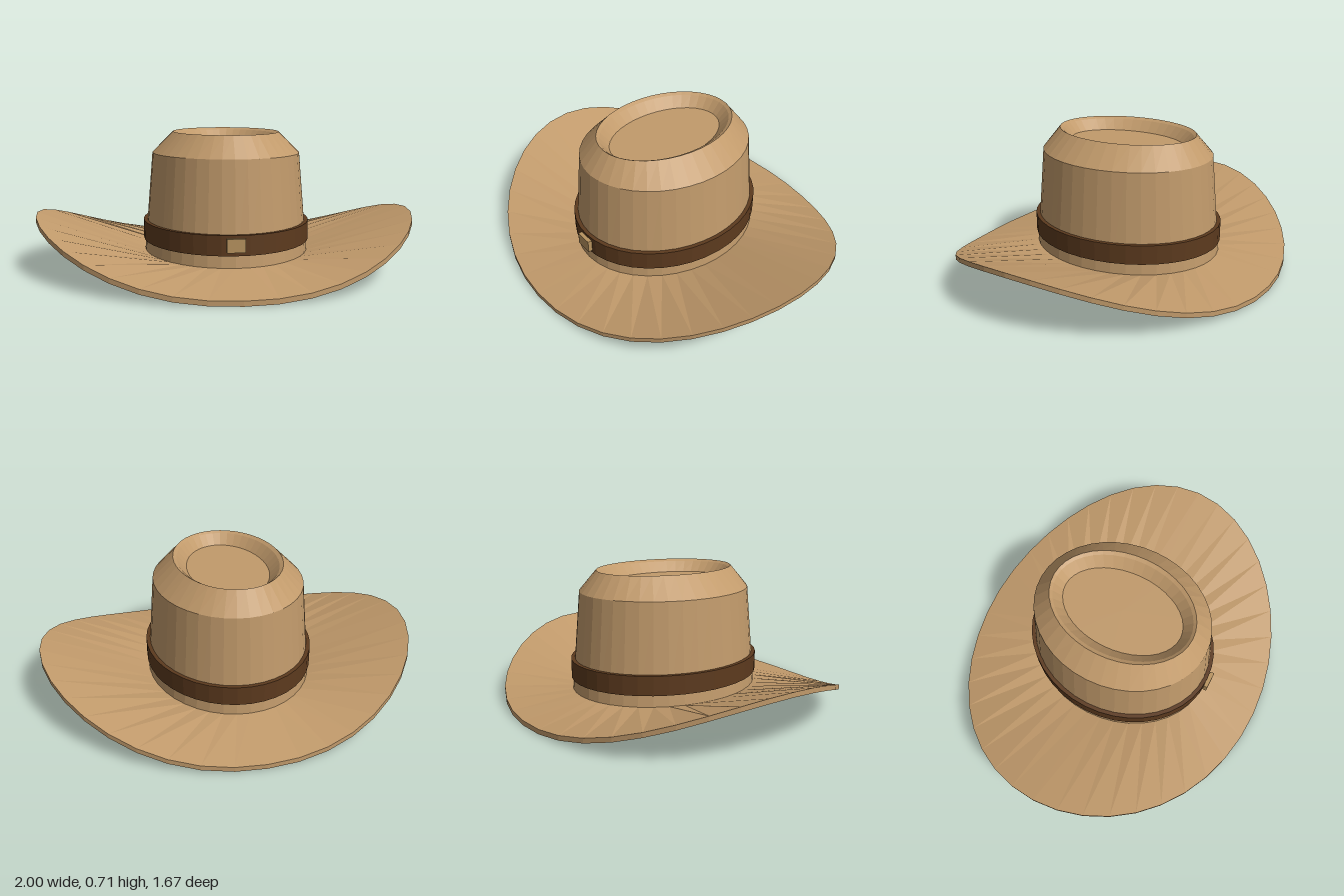
import * as THREE from 'three';

const SEGMENTS = 40;

const tan = new THREE.MeshStandardMaterial({ name: 'tanFelt', color: 0xc19a6b, side: THREE.DoubleSide });
const brown = new THREE.MeshStandardMaterial({ name: 'brownLeather', color: 0x5c3a1e });
const brass = new THREE.MeshStandardMaterial({ name: 'paleBuckle', color: 0xb8935f });

// Skin elliptical rings [radiusX, radiusZ, y]; y may be a function of the angle.
function ringSurface(rings) {
  const positions = [];
  const index = [];
  for (const [rx, rz, y] of rings) {
    for (let i = 0; i < SEGMENTS; i++) {
      const a = (i / SEGMENTS) * Math.PI * 2;
      positions.push(rx * Math.cos(a), typeof y === 'function' ? y(a) : y, rz * Math.sin(a));
    }
  }
  for (let r = 0; r < rings.length - 1; r++) {
    for (let i = 0; i < SEGMENTS; i++) {
      const j = (i + 1) % SEGMENTS;
      const a = r * SEGMENTS + i, b = r * SEGMENTS + j;
      const c = a + SEGMENTS, d = b + SEGMENTS;
      index.push(a, c, b, b, c, d);
    }
  }
  const indexed = new THREE.BufferGeometry();
  indexed.setAttribute('position', new THREE.Float32BufferAttribute(positions, 3));
  indexed.setIndex(index);
  // Separate the faces so every facet keeps its own normal
  const geometry = indexed.toNonIndexed();
  geometry.computeVertexNormals();
  return geometry;
}

function addMesh(group, name, geometry, material) {
  const mesh = new THREE.Mesh(geometry, material);
  mesh.name = name;
  group.add(mesh);
  return mesh;
}

export function createModel() {
  const hat = new THREE.Group();
  hat.name = 'wideBrimHat';

  // Brim: a thin sheet curling up at the sides and dipping at front and back
  const curl = (lift) => (a) => lift + 0.267 * Math.pow(Math.abs(Math.cos(a)), 2.4);
  addMesh(hat, 'brim', ringSurface([
    [0.43, 0.51, 0.066],
    [0.43, 0.51, 0.09],
    [1, 0.835, curl(0.025)],
    [1, 0.835, curl(0)],
    [0.43, 0.51, 0.066],
  ].reverse()), tan);

  // Crown: tapered wall, bevelled shoulder and a sunken oval top
  addMesh(hat, 'crown', ringSurface([
    [0.435, 0.515, 0.078],
    [0.39, 0.47, 0.605],
    [0.28, 0.385, 0.714],
    [0.26, 0.37, 0.703],
    [0.21, 0.323, 0.65],
    [0, 0, 0.65],
  ]), tan);

  // Hat band
  addMesh(hat, 'hatBand', ringSurface([
    [0.415, 0.495, 0.15],
    [0.441, 0.521, 0.15],
    [0.441, 0.521, 0.25],
    [0.415, 0.495, 0.25],
  ]), brown);

  // Buckle on the front of the band
  const buckle = addMesh(hat, 'buckle', new THREE.BoxGeometry(0.09, 0.066, 0.022), brass);
  buckle.position.set(0, 0.203, 0.53);

  return hat;
}
